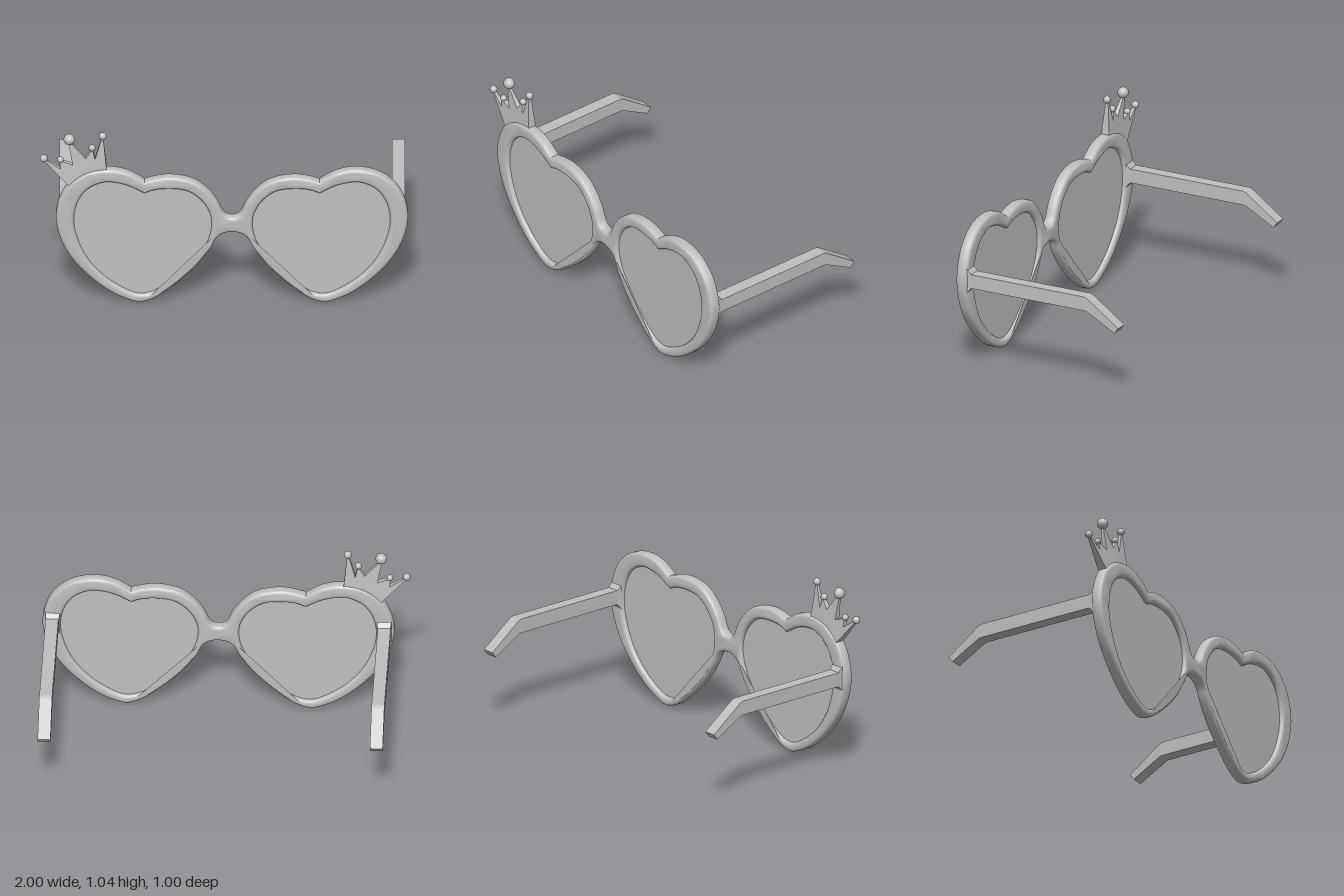
import * as THREE from 'three';
import { toCreasedNormals } from 'three/addons/utils/BufferGeometryUtils.js';

const CX = 0.042;   // mid line of the glasses
const FZ = 0.465;   // middle depth of the front frame

// Smooth curve through [x, y] pairs
function smooth(pairs, n) {
  const c = new THREE.CatmullRomCurve3(pairs.map(([x, y]) => new THREE.Vector3(x, y, 0)), false, 'centripetal');
  return c.getPoints(n).map((p) => new THREE.Vector2(p.x, p.y));
}
const mirrored = (pts) => pts.map((p) => new THREE.Vector2(-p.x, p.y)).reverse();

// Outer edge of one half: bridge to notch, then notch round the heart to the bridge
const upperEdge = [[0, 0.531], [0.022, 0.534], [0.046, 0.553], [0.078, 0.622], [0.132, 0.697], [0.207, 0.755],
  [0.324, 0.782], [0.404, 0.775], [0.474, 0.755]];
const lowerEdge = [[0.474, 0.755], [0.564, 0.809], [0.671, 0.83], [0.794, 0.804], [0.89, 0.729], [0.938, 0.633],
  [0.955, 0.537], [0.938, 0.424], [0.885, 0.302], [0.794, 0.184], [0.666, 0.072], [0.564, 0.019], [0.5, 0.003],
  [0.42, 0.029], [0.303, 0.12], [0.191, 0.232], [0.116, 0.339], [0.084, 0.403], [0.057, 0.427], [0.025, 0.438], [0, 0.44]];
// Heart opening, from notch to notch
const opening = [[0.474, 0.681], [0.42, 0.702], [0.324, 0.709], [0.233, 0.691], [0.159, 0.627], [0.118, 0.547],
  [0.112, 0.462], [0.137, 0.371], [0.201, 0.27], [0.297, 0.168], [0.393, 0.088], [0.458, 0.058], [0.516, 0.056],
  [0.58, 0.083], [0.687, 0.158], [0.778, 0.264], [0.831, 0.376], [0.858, 0.505], [0.837, 0.627], [0.783, 0.707],
  [0.703, 0.748], [0.65, 0.75], [0.564, 0.729], [0.474, 0.681]];

export function createModel() {
  const model = new THREE.Group();
  const plastic = new THREE.MeshStandardMaterial({ color: 0xbfbfbf });
  plastic.name = 'grey plastic';
  const add = (name, geometry, x = 0, y = 0, z = 0) => {
    const mesh = new THREE.Mesh(geometry, plastic);
    mesh.name = name;
    mesh.position.set(x, y, z);
    model.add(mesh);
    return mesh;
  };

  // Double heart frame with rounded edges
  const half = [...smooth(upperEdge, 40).slice(0, -1), ...smooth(lowerEdge, 90)];
  const outline = [...half, ...mirrored(half).slice(1, -1)];
  const hole = smooth(opening, 90).slice(0, -1);
  const frameShape = new THREE.Shape(outline);
  frameShape.holes.push(new THREE.Path(hole), new THREE.Path(mirrored(hole)));
  const frame = new THREE.ExtrudeGeometry(frameShape, {
    depth: 0.027, bevelThickness: 0.02, bevelSize: 0.02, bevelOffset: -0.02, bevelSegments: 5,
  });
  frame.translate(0, 0, -0.0135);
  add('frame', toCreasedNormals(frame, 0.6), CX, 0, FZ);

  // Lenses, set back in the openings
  for (const [name, pts] of [['leftLens', hole], ['rightLens', mirrored(hole)]]) {
    const lens = new THREE.ExtrudeGeometry(new THREE.Shape(pts), { depth: 0.024, bevelEnabled: false });
    lens.translate(0, 0, -0.012);
    add(name, lens, CX, 0, FZ);
  }

  // Temple arms with a bent ear end and a flared joint
  const armShape = new THREE.Shape([[0.44, 0.495], [0.44, 0.575], [-0.285, 0.575], [-0.298, 0.572], [-0.312, 0.564],
    [-0.497, 0.43], [-0.473, 0.398], [-0.315, 0.486], [-0.302, 0.493], [-0.285, 0.495]]
    .map(([z, y]) => new THREE.Vector2(z, y)));
  for (const [side, s] of [['left', 1], ['right', -1]]) {
    const arm = new THREE.ExtrudeGeometry(armShape, { depth: 0.07, bevelEnabled: false });
    arm.translate(0, 0, -0.035);
    arm.rotateY(-Math.PI / 2);
    add(side + 'Arm', arm, CX + s * 0.902, 0, 0);

    const joint = new THREE.BoxGeometry(0.07, 0.08, 0.035);
    const p = joint.attributes.position;
    for (let i = 0; i < p.count; i++) {
      if (p.getZ(i) > 0) p.setXY(i, p.getX(i) * 1.2, p.getY(i) * 2);
    }
    joint.computeVertexNormals();
    add(side + 'ArmJoint', joint, CX + s * 0.9, 0.535, 0.428);
  }

  // Crown, thinning from its base towards the tips
  const crownShape = new THREE.Shape([[-0.8, 0.69], [-0.845, 0.729], [-0.975, 0.873], [-0.968, 0.88], [-0.888, 0.828],
    [-0.893, 0.872], [-0.883, 0.875], [-0.822, 0.853], [-0.845, 0.985], [-0.833, 0.987], [-0.752, 0.893],
    [-0.722, 0.94], [-0.712, 0.938], [-0.701, 0.887], [-0.666, 1.013], [-0.656, 1.012], [-0.638, 0.83], [-0.64, 0.77]]
    .map(([x, y]) => new THREE.Vector2(x, y)));
  const crown = new THREE.ExtrudeGeometry(crownShape, { depth: 1, bevelEnabled: false });
  const cp = crown.attributes.position;
  for (let i = 0; i < cp.count; i++) {
    const rise = (cp.getX(i) + 0.74) * -0.41 + (cp.getY(i) - 0.78) * 0.91;
    const thick = THREE.MathUtils.lerp(0.05, 0.013, THREE.MathUtils.clamp(rise / 0.19, 0, 1));
    cp.setZ(i, (cp.getZ(i) - 0.5) * thick);
  }
  crown.computeVertexNormals();
  add('crown', crown, 0, 0, FZ - 0.002);

  // Beads on the crown tips
  for (const [x, y, r] of [[-0.979, 0.888, 0.021], [-0.889, 0.88, 0.018], [-0.841, 1.006, 0.031],
    [-0.717, 0.953, 0.019], [-0.66, 1.026, 0.021]]) {
    add('crownBead', new THREE.SphereGeometry(r, 20, 14), x, y, FZ - 0.002);
  }
  return model;
}
